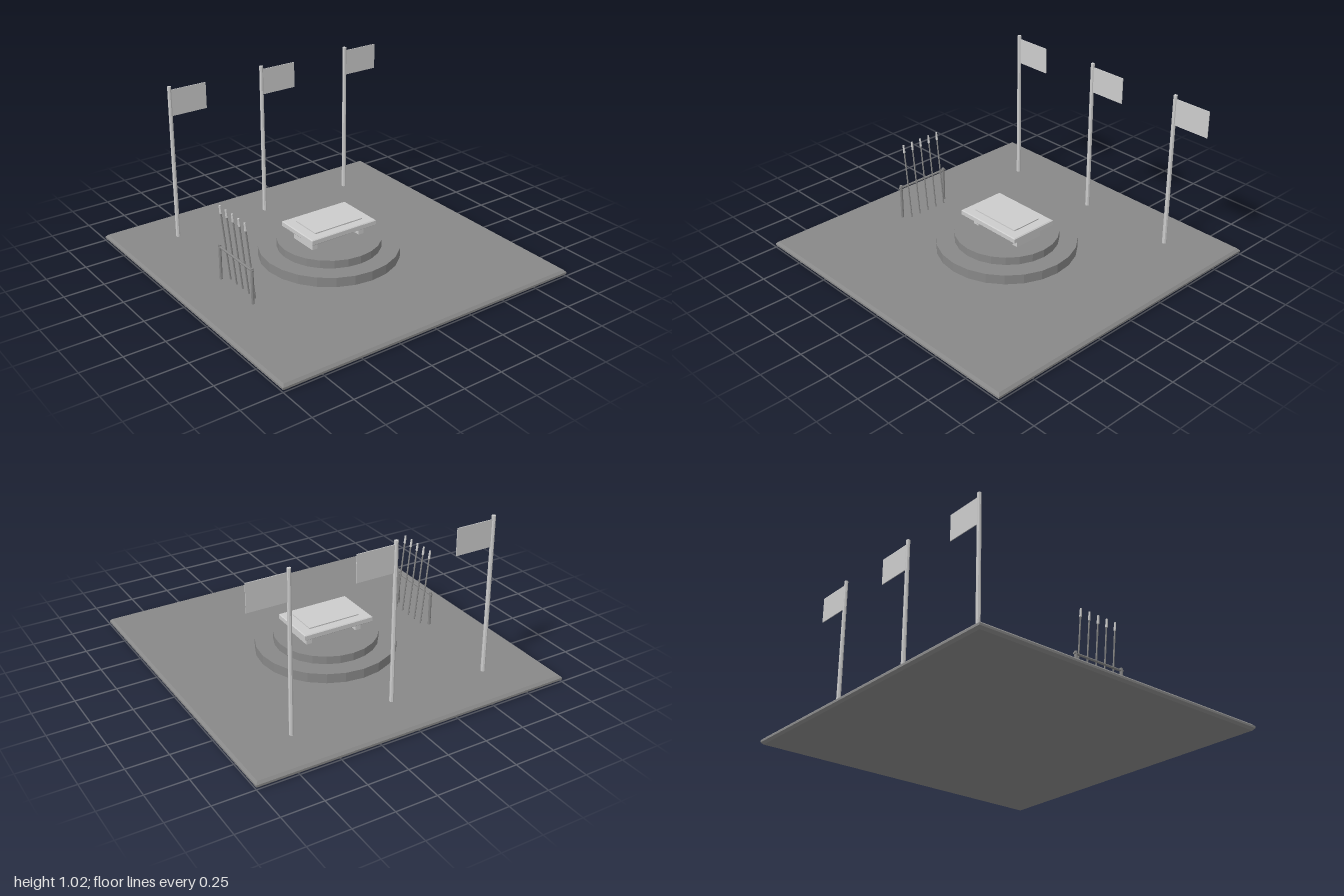
import * as THREE from 'three';

export function createModel() {
  const model = new THREE.Group();
  const mat = (name, color) => new THREE.MeshStandardMaterial({ name, color, flatShading: true });
  const stone = mat('midGrey', 0x888888);
  const pale = mat('paleGrey', 0xcccccc);

  const add = (name, geometry, material, x = 0, y = 0, z = 0, parent = model) => {
    const mesh = new THREE.Mesh(geometry, material);
    mesh.name = name;
    mesh.position.set(x, y, z);
    parent.add(mesh);
    return mesh;
  };

  // Box with chamfered edges, standing on y = 0
  const chamferBox = (w, h, d, b) => {
    const a = w / 2 - b, c = d / 2 - b;
    const shape = new THREE.Shape([[-a, -c], [a, -c], [a, c], [-a, c]].map(p => new THREE.Vector2(...p)));
    const geo = new THREE.ExtrudeGeometry(shape, {
      depth: h - 2 * b, bevelEnabled: true, bevelSize: b, bevelThickness: b, bevelSegments: 1,
    });
    return geo.rotateX(-Math.PI / 2).translate(0, b, 0);
  };

  // Ground slab and round steps
  add('floorSlab', chamferBox(2, 0.04, 2, 0.014), stone);
  add('lowerStep', new THREE.CylinderGeometry(0.43, 0.43, 0.06, 24), stone, 0, 0.07);
  add('upperStep', new THREE.CylinderGeometry(0.318, 0.318, 0.05, 24), stone, 0, 0.125);

  // Table with two slab legs and an inset panel
  const table = new THREE.Group();
  table.name = 'table';
  model.add(table);
  for (const s of [-1, 1]) {
    add('tableLeg', new THREE.BoxGeometry(0.037, 0.07, 0.19), pale, s * 0.17, 0.184, 0, table);
  }
  add('tableTop', chamferBox(0.466, 0.036, 0.316, 0.005), pale, 0, 0.216, 0, table);
  add('tablePanel', new THREE.BoxGeometry(0.34, 0.008, 0.2), pale, 0, 0.255, 0, table);

  // Row of flags along the back
  for (const x of [-0.64, 0, 0.64]) {
    const flag = new THREE.Group();
    flag.name = 'flag';
    flag.position.set(x, 0, -0.717);
    model.add(flag);
    add('flagPole', new THREE.CylinderGeometry(0.012, 0.014, 0.985, 8), pale, 0, 0.5325, 0, flag);
    add('flagCloth', new THREE.BoxGeometry(0.235, 0.165, 0.005), pale, 0.127, 0.92, 0, flag);
  }

  // Rack: two posts and a rail
  const rack = new THREE.Group();
  rack.name = 'rack';
  model.add(rack);
  for (const z of [-0.096, 0.248]) {
    add('rackPost', new THREE.CylinderGeometry(0.009, 0.009, 0.225, 8), stone, -0.7, 0.1525, z, rack);
  }
  add('rackRail', new THREE.CylinderGeometry(0.007, 0.007, 0.37, 8).rotateX(Math.PI / 2),
    stone, -0.7, 0.25, 0.075, rack);

  // Spears leaning outward against the rail
  for (let i = 0; i < 5; i++) {
    const spear = new THREE.Group();
    spear.name = 'spear';
    spear.position.set(-0.655, 0.005, -0.058 + i * 0.066);
    spear.rotation.z = 0.106;
    model.add(spear);
    add('spearShaft', new THREE.CylinderGeometry(0.005, 0.005, 0.48, 6), stone, 0, 0.24, 0, spear);
    add('spearHead', new THREE.CylinderGeometry(0.006, 0.008, 0.05, 6), pale, 0, 0.502, 0, spear);
  }
  return model;
}
